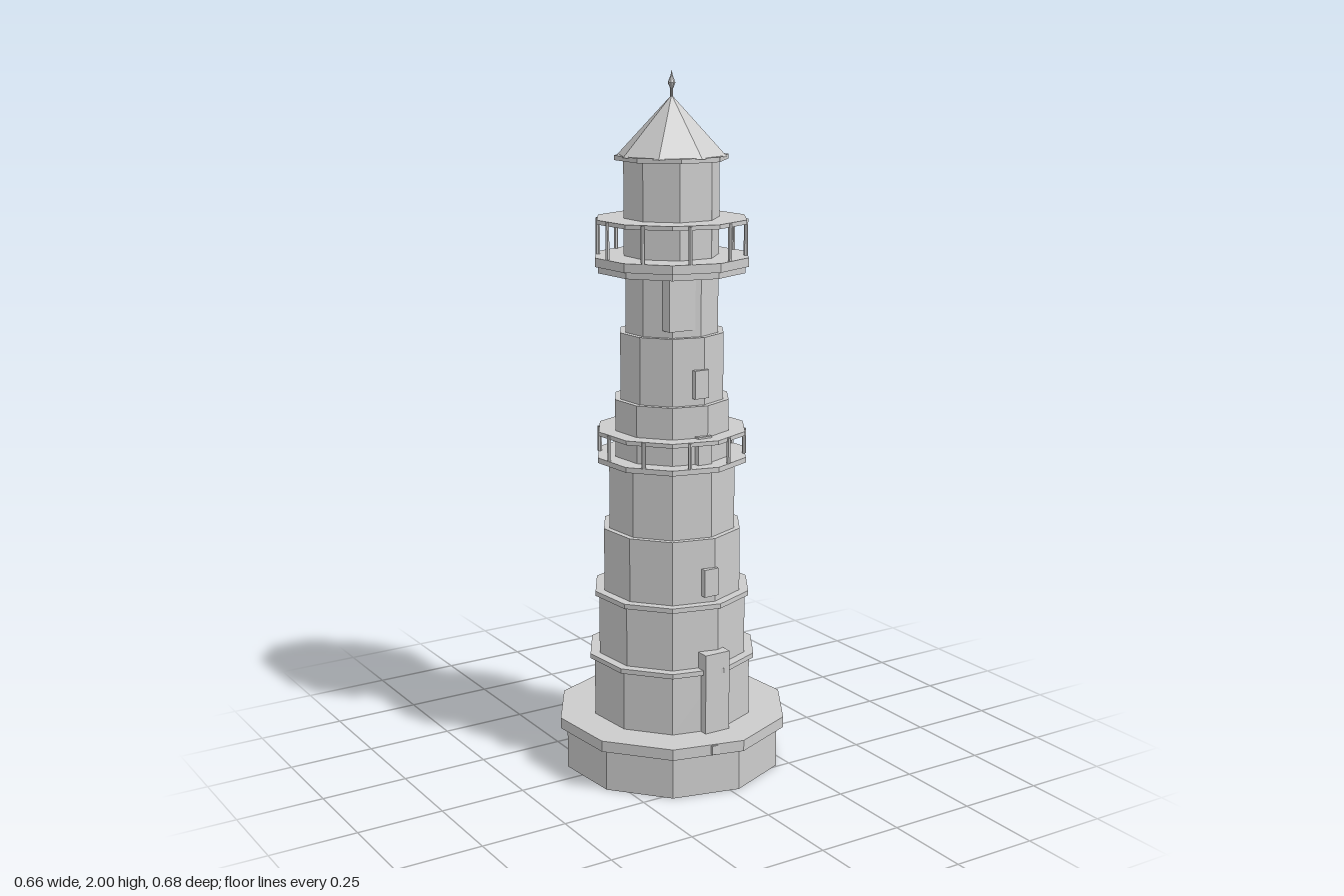
import * as THREE from 'three';

const TWIST = 0.08; // turn of the ten-sided tower

export function createModel() {
  const model = new THREE.Group();
  model.name = 'lighthouse';
  const stone = new THREE.MeshStandardMaterial({ color: 0xcccccc });
  stone.name = 'grey stone';
  stone.flatShading = true;
  stone.side = THREE.DoubleSide; // the plinth is an open shell

  const add = (name, geo, x = 0, y = 0, z = 0, turn = 0, parent = model) => {
    const mesh = new THREE.Mesh(geo, stone);
    mesh.name = name;
    mesh.position.set(x, y, z);
    mesh.rotation.y = turn;
    parent.add(mesh);
    return mesh;
  };
  // Many-sided drum from y0 to y1
  const drum = (name, r, y0, y1, turn = TWIST, sides = 10, open = false, parent = model) =>
    add(name, new THREE.CylinderGeometry(r, r, y1 - y0, sides, 1, open), 0, (y0 + y1) / 2, 0, turn, parent);
  // Upright box on the front, given its outer face
  const panel = (name, w, y0, y1, zOut, depth, x = 0) =>
    add(name, new THREE.BoxGeometry(w, y1 - y0, depth), x, (y0 + y1) / 2, zOut - depth / 2);

  // Base: hollow plinth under a wide plate
  drum('plinth', 0.32, 0, 0.125, TWIST, 10, true);
  drum('basePlate', 0.34, 0.123, 0.155);
  panel('doorStep', 0.136, 0.126, 0.152, 0.3225, 0.1);

  // Stepped tower: radius, bottom, top
  [
    [0.235, 0.155, 0.335], [0.22, 0.335, 0.525], [0.204, 0.525, 0.715], [0.187, 0.715, 0.915],
    [0.168, 0.915, 1.09], [0.152, 1.09, 1.28], [0.136, 1.28, 1.455],
  ].forEach(([r, y0, y1], i) => drum('towerSection' + (i + 1), r, y0, y1));
  drum('lowerBand', 0.248, 0.328, 0.342);
  drum('upperBand', 0.231, 0.516, 0.53);

  // Door, windows and hatch
  panel('door', 0.08, 0.155, 0.39, 0.245, 0.06);
  panel('lowerWindow', 0.045, 0.55, 0.63, 0.212, 0.04);
  panel('galleryWindow', 0.045, 0.925, 1.005, 0.176, 0.04);
  panel('upperWindow', 0.045, 1.11, 1.19, 0.159, 0.04);
  panel('hatch', 0.085, 1.3, 1.452, 0.133, 0.035, -0.048);

  // Galleries: posts carrying a flat slab rail
  const gallery = (name, floor, top) => {
    const g = new THREE.Group();
    g.name = name;
    const h = top - floor - 0.002;
    for (let i = 0; i < 10; i++) {
      const a = Math.PI / 2 + (i * Math.PI) / 5;
      add('railPost', new THREE.CylinderGeometry(0.006, 0.006, h, 6),
        0.207 * Math.sin(a), floor + h / 2, 0.207 * Math.cos(a), a, g);
    }
    drum('railSlab', 0.217, top - 0.012, top, TWIST, 10, false, g);
    model.add(g);
  };
  drum('lowerGalleryFloor', 0.22, 0.91, 0.925);
  gallery('lowerRailing', 0.925, 1.0);
  drum('upperGalleryBracket', 0.214, 1.45, 1.468);
  drum('upperGalleryFloor', 0.223, 1.468, 1.493);
  gallery('upperRailing', 1.493, 1.597);

  // Lantern room and roof
  const EIGHTH = Math.PI / 8;
  drum('lanternRoom', 0.135, 1.49, 1.765, EIGHTH, 8);
  drum('eaves', 0.16, 1.757, 1.77, EIGHTH, 8);
  add('roof', new THREE.ConeGeometry(0.156, 0.165, 8), 0, 1.8495, 0);

  // Finial: thin rod with a diamond-shaped bead
  drum('finialRod', 0.004, 1.92, 1.97, 0, 8);
  const bead = [[0, 1.94], [0.011, 1.965], [0.003, 1.985], [0, 2]].map(([r, y]) => new THREE.Vector2(r, y));
  add('finialBead', new THREE.LatheGeometry(bead, 8));

  return model;
}
